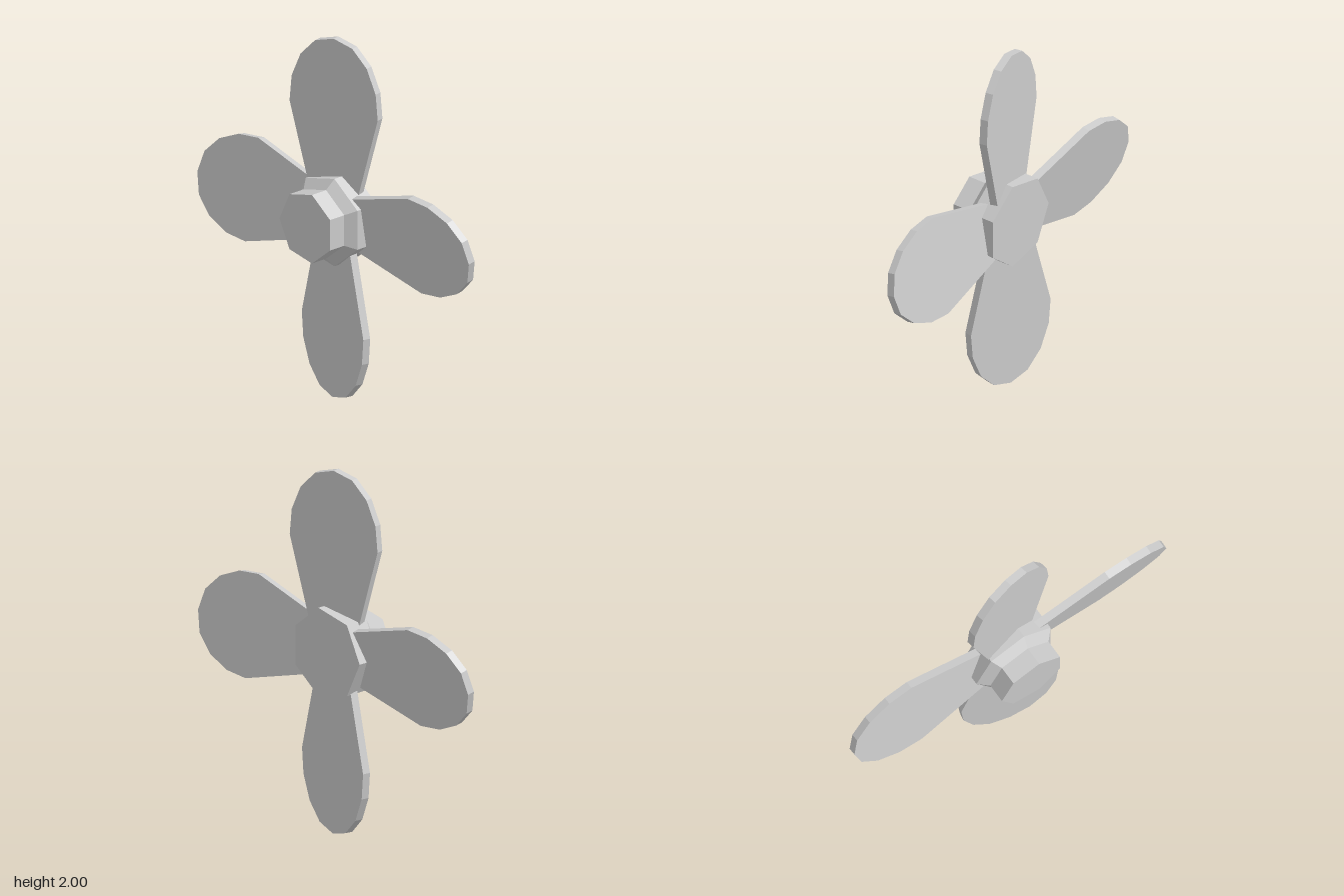
import * as THREE from 'three';

const material = new THREE.MeshStandardMaterial({ color: 0xcccccc, flatShading: true });

// Seven-sided hub along x: narrow collar, flare, wide drum
function makeHub() {
  const profile = [[0, -0.15], [0.196, -0.15], [0.196, -0.045], [0.25, 0.005], [0.25, 0.148], [0, 0.148]]
    .map(([r, y]) => new THREE.Vector2(r, y));
  const geometry = new THREE.LatheGeometry(profile, 7, Math.PI);
  geometry.rotateZ(-Math.PI / 2);
  const hub = new THREE.Mesh(geometry, material);
  hub.name = 'hub';
  return hub;
}

// Paddle-shaped blade, pitched about its own length
function makeBladeGeometry() {
  const side = [[0.125, 0.04], [0.28, 0.6], [0.267, 0.742], [0.21, 0.875], [0.118, 0.968]];
  const mirrored = side.map(([w, l]) => [-w, l]).reverse();
  const outline = [...side, [0, 1], ...mirrored].map(([w, l]) => new THREE.Vector2(w, l));
  const thickness = 0.044;
  const geometry = new THREE.ExtrudeGeometry(new THREE.Shape(outline), { depth: thickness, bevelEnabled: false });
  geometry.translate(0, 0, -thickness / 2);
  geometry.rotateY(THREE.MathUtils.degToRad(-79.8));
  geometry.translate(0.073, 0, 0);
  return geometry;
}

export function createModel() {
  const model = new THREE.Group();
  model.name = 'propeller';

  const rotor = new THREE.Group();
  rotor.name = 'rotor';
  rotor.position.y = 1;
  rotor.add(makeHub());

  // Four blades around the x axis
  const bladeGeometry = makeBladeGeometry();
  for (let i = 0; i < 4; i++) {
    const blade = new THREE.Mesh(bladeGeometry, material);
    blade.name = `blade${i + 1}`;
    blade.rotation.x = (i * Math.PI) / 2;
    rotor.add(blade);
  }

  model.add(rotor);
  return model;
}
